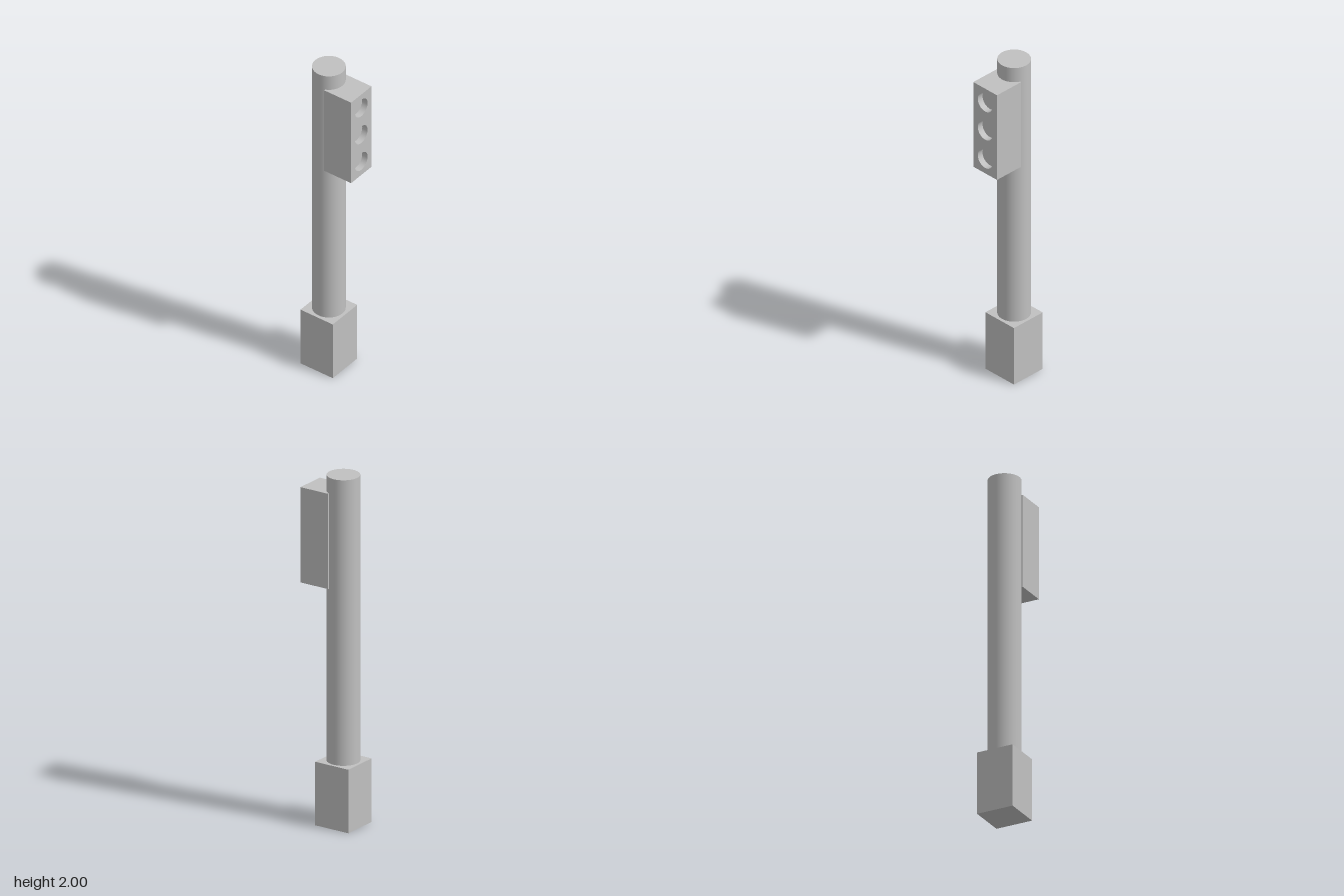
import * as THREE from 'three';

export function createModel() {
  const model = new THREE.Group();
  const grey = new THREE.MeshStandardMaterial({ color: 0xc0c0c0 });
  grey.name = 'plain grey';

  function add(parent, name, geometry, x, y, z) {
    const mesh = new THREE.Mesh(geometry, grey);
    mesh.name = name;
    mesh.position.set(x, y, z);
    parent.add(mesh);
  }

  const poleZ = -0.055;

  // Square footing and round pole
  add(model, 'base', new THREE.BoxGeometry(0.218, 0.364, 0.218), 0, 0.182, poleZ);
  add(model, 'pole', new THREE.CylinderGeometry(0.091, 0.091, 1.636, 64), 0, 1.182, poleZ);

  // Signal housing: solid back with a front plate pierced by three lamp recesses
  const housing = new THREE.Group();
  housing.name = 'signalHousing';
  housing.position.y = 1.636;
  model.add(housing);

  const w = 0.091, h = 0.273, back = -0.018, front = 0.164, recess = 0.036;
  const bodyDepth = front - recess - back;
  add(housing, 'housingBody', new THREE.BoxGeometry(w * 2, h * 2, bodyDepth), 0, 0, back + bodyDepth / 2);

  const face = new THREE.Shape();
  face.moveTo(-w, -h).lineTo(w, -h).lineTo(w, h).lineTo(-w, h).closePath();
  for (const y of [-0.182, 0, 0.182]) {
    face.holes.push(new THREE.Path().absarc(0, y, 0.056, 0, Math.PI * 2, true));
  }
  const plate = new THREE.ExtrudeGeometry(face, { depth: recess, bevelEnabled: false, curveSegments: 32 });
  add(housing, 'lampFrontPlate', plate, 0, 0, front - recess);

  return model;
}
